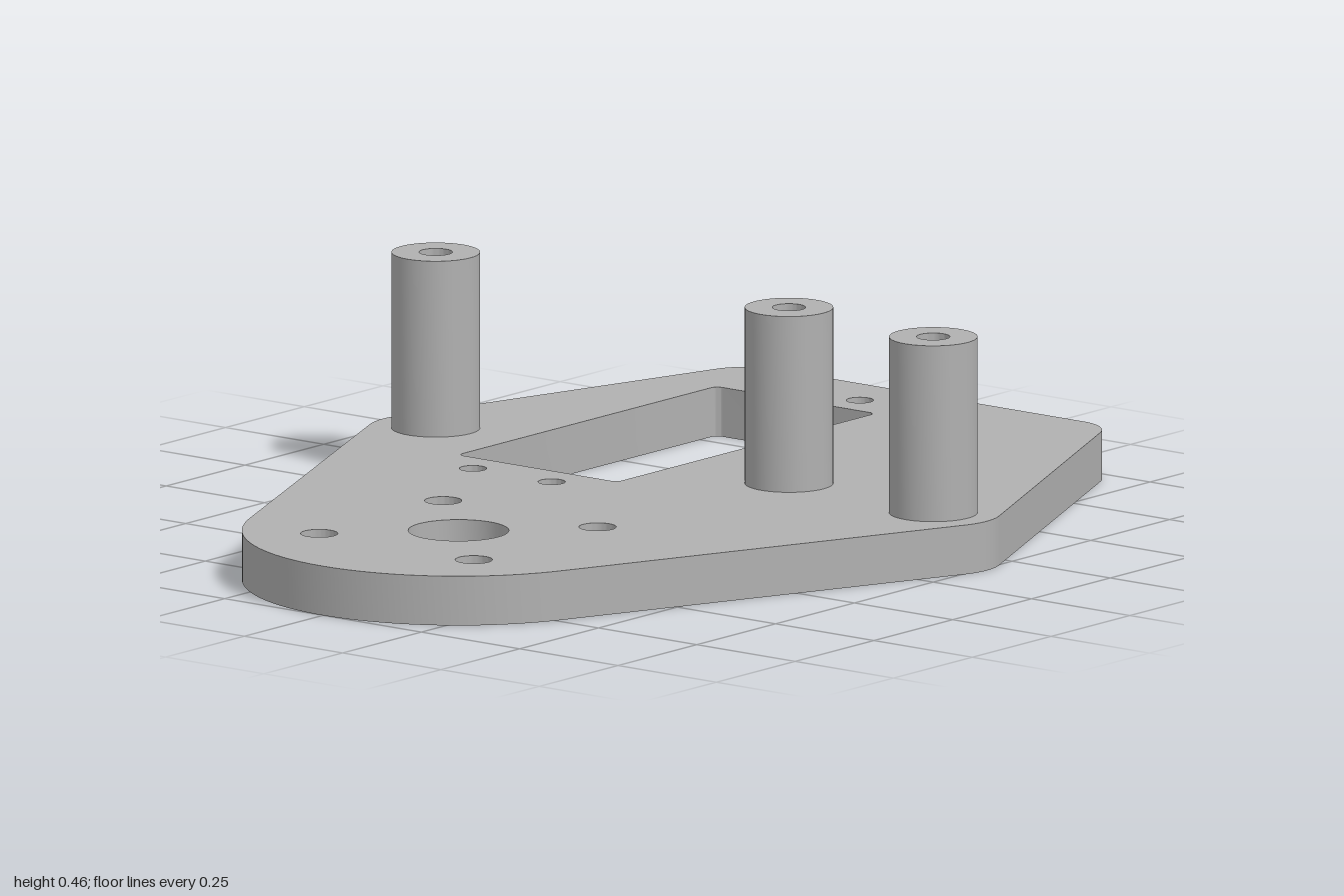
import * as THREE from 'three';
import { toCreasedNormals } from 'three/addons/utils/BufferGeometryUtils.js';

const PLATE = 0.1, TOP = 0.457;

const circle = (Type, x, z, r) => new Type().absarc(x, -z, r, 0, Math.PI * 2, false);

// Outline of a belt stretched round circles [x, z, r], listed counter-clockwise seen from above
function beltShape(circles) {
  const n = circles.length;
  const tangents = circles.map(([x, z, r], i) => {
    const [x2, z2, r2] = circles[(i + 1) % n];
    const dx = x2 - x, dy = z - z2;
    return Math.atan2(dy, dx) - Math.acos((r - r2) / Math.hypot(dx, dy));
  });
  const shape = new THREE.Shape();
  circles.forEach(([x, z, r], i) => shape.absarc(x, -z, r, tangents[(i + n - 1) % n], tangents[i], false));
  return shape;
}

// Rectangular cut-out with small rounded corners
function windowPath(x0, x1, z0, z1, r) {
  const path = new THREE.Path();
  const corners = [[x1 - r, z0 + r], [x0 + r, z0 + r], [x0 + r, z1 - r], [x1 - r, z1 - r]];
  corners.forEach(([x, z], i) => path.absarc(x, -z, r, i * Math.PI / 2, (i + 1) * Math.PI / 2, false));
  path.closePath();
  return path;
}

// Extrude a plan shape upwards from y0 to y1
function slab(name, shape, y0, y1, material) {
  const geometry = new THREE.ExtrudeGeometry(shape, { depth: y1 - y0, bevelEnabled: false, curveSegments: 24 });
  geometry.rotateX(-Math.PI / 2).translate(0, y0, 0);
  const mesh = new THREE.Mesh(toCreasedNormals(geometry, 0.6), material);
  mesh.name = name;
  return mesh;
}

export function createModel() {
  const group = new THREE.Group();
  group.name = 'mountingPlate';
  const grey = new THREE.MeshStandardMaterial({ color: 0xb0b0b0 });
  grey.name = 'grey';

  const posts = [[0.15, -0.635], [0.185, 0.235], [0.15, 0.63]];

  // Base plate
  const plate = beltShape([
    [-0.57, 0, 0.43], [0.15, 0.63, 0.135], [0.9, 0.33, 0.1], [0.9, -0.45, 0.1], [0.15, -0.635, 0.135],
  ]);
  const hole = (x, z, r) => plate.holes.push(circle(THREE.Path, x, z, r));

  // Shaft hole with four fixing holes round it
  hole(-0.57, 0, 0.1);
  for (const x of [-0.765, -0.372]) for (const z of [-0.198, 0.195]) hole(x, z, 0.037);

  // Rectangular window with two screw holes at each end
  plate.holes.push(windowPath(-0.02, 0.8, -0.443, -0.038, 0.016));
  for (const x of [-0.1, 0.878]) for (const z of [-0.34, -0.14]) hole(x, z, 0.027);

  // Wider screw-head pockets beneath the posts
  for (const [x, z] of posts) hole(x, z, 0.064);
  group.add(slab('basePlate', plate, 0, PLATE, grey));

  // Hollow standoff posts
  for (const [x, z] of posts) {
    const ring = circle(THREE.Shape, x, z, 0.088);
    ring.holes.push(circle(THREE.Path, x, z, 0.033));
    group.add(slab('standoffPost', ring, PLATE, TOP, grey));
  }
  return group;
}
